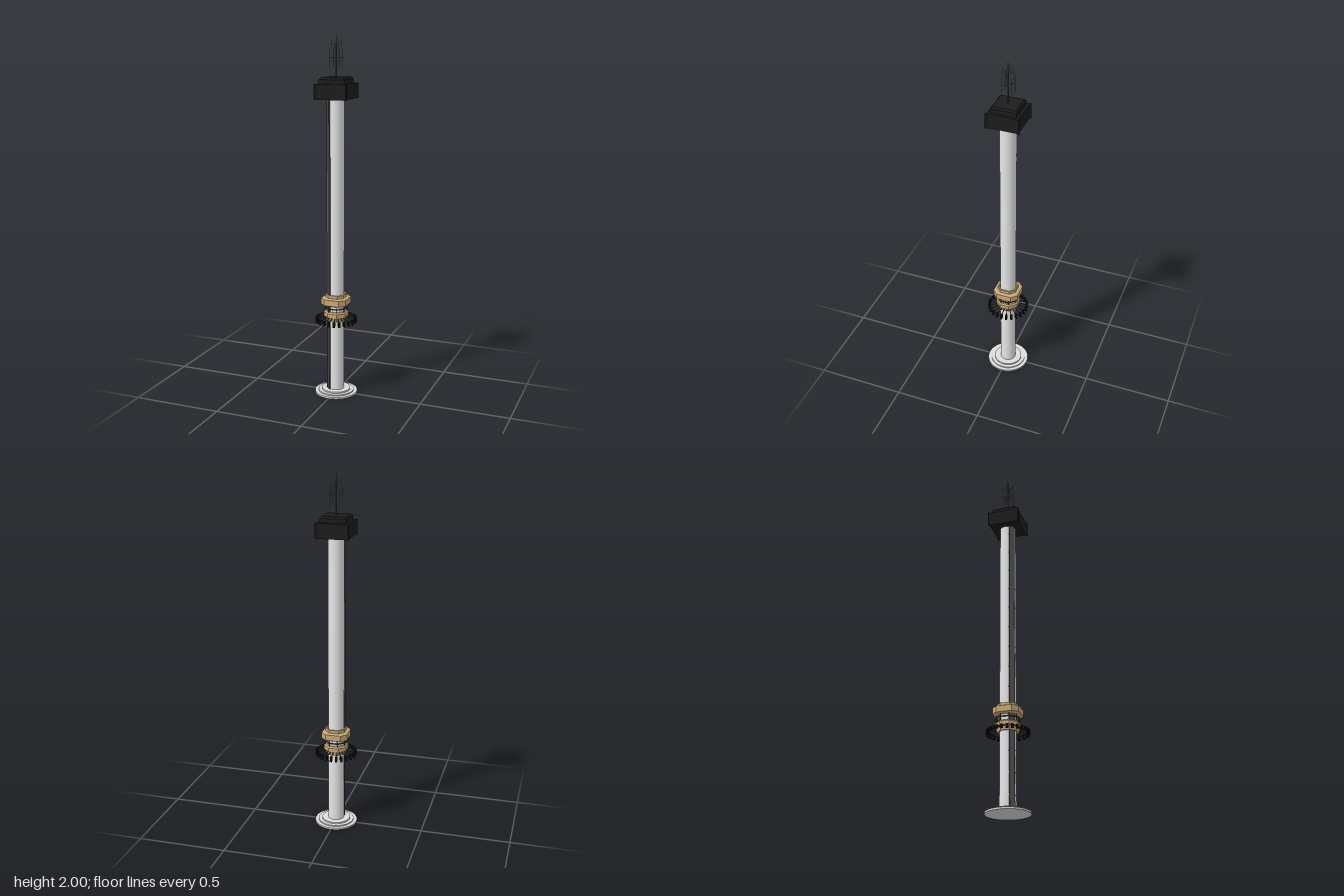
import * as THREE from 'three';

const mat = (name, color) => Object.assign(new THREE.MeshStandardMaterial({ color }), { name });

export function createModel() {
  const model = new THREE.Group();
  model.name = 'dropTower';
  const paleGrey = mat('pale grey column', 0xe6e6e6);
  const baseGrey = mat('base grey', 0xdcdcdc);
  const panelGrey = mat('panel grey', 0x585858);
  const darkGrey = mat('dark grey steel', 0x444444);
  const black = mat('black cap', 0x1c1c1c);
  const seatBlack = mat('seat black', 0x141414);
  const tan = mat('tan carriage', 0xc8a877);
  const steel = mat('antenna grey', 0x747474);

  const add = (parent, name, geo, material, x = 0, y = 0, z = 0) => {
    const m = new THREE.Mesh(geo, material);
    m.name = name;
    m.position.set(x, y, z);
    parent.add(m);
    return m;
  };
  const box = (parent, name, material, w, h, d, x, y, z) =>
    add(parent, name, new THREE.BoxGeometry(w, h, d), material, x, y, z);
  const cyl = (parent, name, material, r, y0, y1, n = 8) =>
    add(parent, name, new THREE.CylinderGeometry(r, r, y1 - y0, n), material, 0, (y0 + y1) / 2, 0);
  const group = (parent, name, angle = 0) => {
    const g = new THREE.Group();
    g.name = name;
    g.rotation.y = angle;
    parent.add(g);
    return g;
  };

  // Stepped round base and the column
  [[0.12, 0, 0.01], [0.1, 0.01, 0.017], [0.08, 0.017, 0.025]].forEach(([r, a, b]) =>
    cyl(model, 'baseStep', baseGrey, r, a, b, 48));
  cyl(model, 'column', paleGrey, 0.0445, 0.025, 1.67, 40);

  // Service ladder on the front right diagonal
  const ladder = group(model, 'ladder', -Math.PI / 4);
  box(ladder, 'ladderPanel', panelGrey, 0.03, 1.64, 0.01, 0, 0.845, 0.044);
  for (const s of [-1, 1]) box(ladder, 'ladderRail', darkGrey, 0.002, 1.64, 0.011, s * 0.0145, 0.845, 0.0445);
  for (let i = 0; i < 14; i++)
    box(ladder, 'ladderBracket', darkGrey, 0.036, 0.006, 0.004, 0, 0.09 + i * 0.117, 0.046);

  // Square cap with flared corners
  const corner = [[0.085, 0.073], [0.0928, 0.0885], [0.0885, 0.0928], [0.073, 0.085]];
  const outline = [];
  for (let q = 0; q < 4; q++) {
    const c = Math.round(Math.cos(q * Math.PI / 2)), s = Math.round(Math.sin(q * Math.PI / 2));
    corner.forEach(([x, y]) => outline.push(new THREE.Vector2(x * c - y * s, x * s + y * c)));
  }
  const capGeo = new THREE.ExtrudeGeometry(new THREE.Shape(outline), { depth: 0.082, bevelEnabled: false });
  capGeo.rotateX(-Math.PI / 2);
  add(model, 'cap', capGeo, black, 0, 1.665, 0);
  box(model, 'capTier', black, 0.142, 0.023, 0.142, 0, 1.7585, 0);
  const bevel = new THREE.CylinderGeometry(0.063 * Math.SQRT2, 0.071 * Math.SQRT2, 0.01, 4).toNonIndexed();
  bevel.rotateY(Math.PI / 4);
  bevel.computeVertexNormals();
  add(model, 'capBevel', bevel, black, 0, 1.775, 0);

  // Antenna mast with two tiers of four aerials
  const antenna = group(model, 'antenna');
  cyl(antenna, 'mast', darkGrey, 0.004, 1.78, 1.96);
  cyl(antenna, 'mastTip', darkGrey, 0.0025, 1.96, 2.0);
  const tiers = [
    { y: 1.882, r: 0.037, lo: 1.83, hi: 1.932, turn: Math.PI / 4 },
    { y: 1.953, r: 0.029, lo: 1.925, hi: 1.978, turn: 0 },
  ];
  for (const t of tiers) for (let i = 0; i < 4; i++) {
    const arm = group(antenna, 'aerial', t.turn + i * Math.PI / 2);
    box(arm, 'aerialArm', steel, 0.0035, 0.003, t.r + 0.005, 0, t.y, (t.r + 0.005) / 2);
    box(arm, 'aerialCrossbar', steel, 0.018, 0.003, 0.005, 0, t.y, t.r);
    box(arm, 'aerialRod', steel, 0.0025, t.hi - t.lo, 0.0025, 0, (t.lo + t.hi) / 2, t.r);
  }

  // Eight-sided carriage rings: radii to the flats with heights; widen lengthens the four axis flats
  const carriage = group(model, 'carriage');
  const ring = (name, material, pts, widen = 1, inner = 0.047) => {
    const k = 1 / Math.cos(Math.PI / 8);
    const profile = [[inner, pts[0][1]], ...pts, [inner, pts[pts.length - 1][1]], [inner, pts[0][1]]];
    const geo = new THREE.LatheGeometry(profile.map(([r, y]) => new THREE.Vector2(r * k, y)), 8, Math.PI / 8).toNonIndexed();
    const p = geo.attributes.position;
    for (let i = 0; i < p.count; i++) {
      const x = p.getX(i), z = p.getZ(i);
      if (Math.abs(x) < Math.abs(z)) p.setX(i, x * widen);
      else p.setZ(i, z * widen);
    }
    geo.computeVertexNormals();
    return add(carriage, name, geo, material);
  };
  ring('upperRing', tan, [[0.064, 0.522], [0.073, 0.527], [0.073, 0.561], [0.062, 0.566]], 1.42);
  ring('upperCollar', tan, [[0.054, 0.566], [0.054, 0.583]], 1.2);
  ring('middleRail', darkGrey, [[0.064, 0.503], [0.064, 0.508]], 1, 0.058);
  ring('lowerRing', tan, [[0.064, 0.455], [0.064, 0.478], [0.057, 0.486]]);
  ring('lowerCollar', tan, [[0.054, 0.432], [0.058, 0.455]]);
  for (let i = 0; i < 8; i++) {
    const g = group(carriage, 'post', (i + 0.5) * Math.PI / 4);
    box(g, 'carriagePost', darkGrey, 0.004, 0.05, 0.004, 0, 0.503, 0.06);
  }

  // Ring of 24 outward-facing seats on sloping radial arms
  for (let i = 0; i < 24; i++) {
    const seat = group(carriage, 'seat', i * Math.PI / 12);
    const arm = box(seat, 'seatArm', darkGrey, 0.004, 0.005, 0.05, 0, 0.449, 0.081);
    arm.rotation.x = 0.25;
    box(seat, 'seatBack', seatBlack, 0.014, 0.022, 0.004, 0, 0.437, 0.105);
    box(seat, 'seatPan', seatBlack, 0.014, 0.005, 0.01, 0, 0.426, 0.11);
    box(seat, 'legRest', seatBlack, 0.012, 0.008, 0.003, 0, 0.423, 0.1165);
    for (const s of [-1, 1]) {
      const bar = box(seat, 'restraint', seatBlack, 0.003, 0.003, 0.013, s * 0.0055, 0.443, 0.1115);
      bar.rotation.x = 0.4;
    }
  }
  return model;
}
